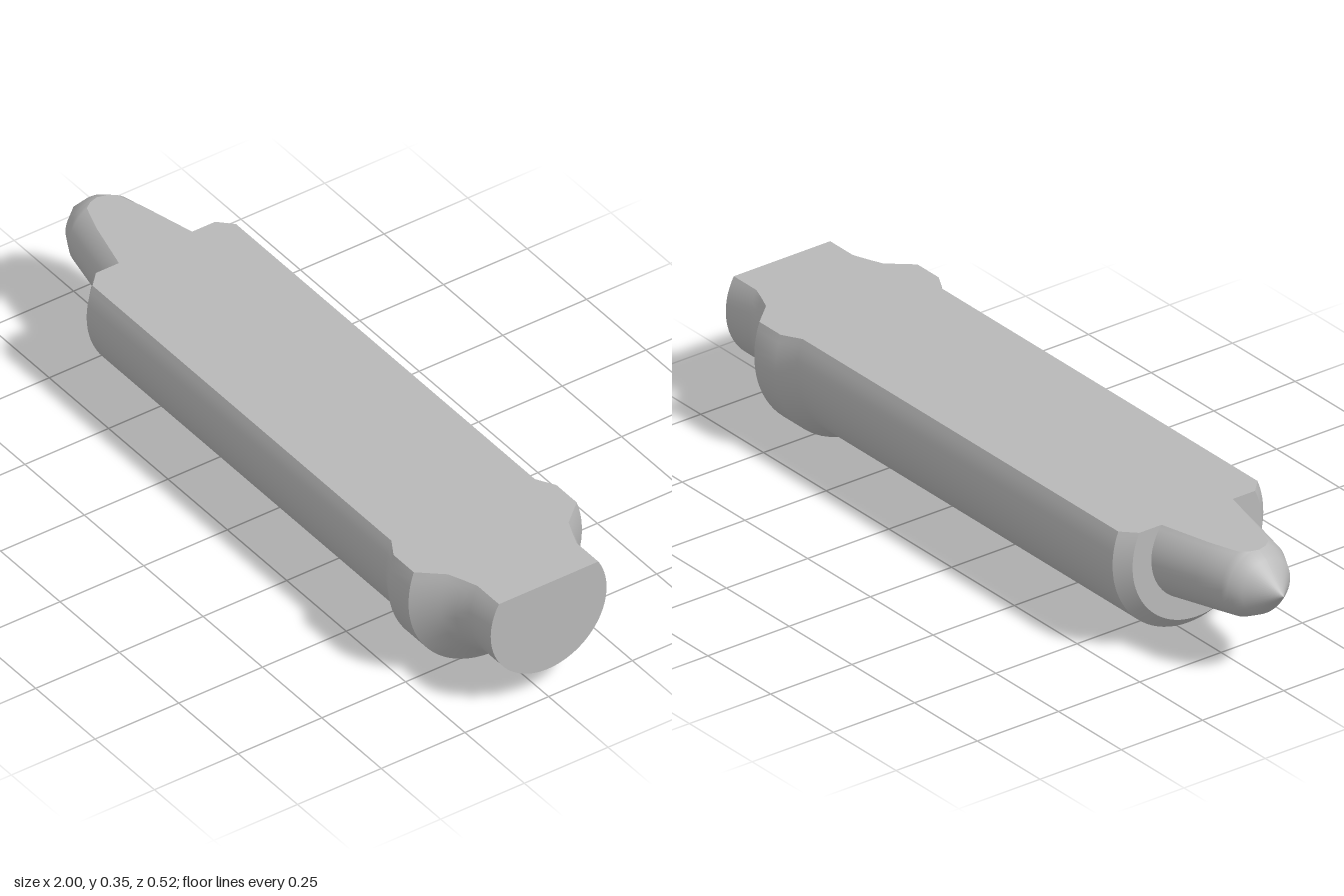
import * as THREE from 'three';

const AXIS = 0.259;  // height of the shaft axis
const CUT = 0.089;   // height of the flat above the axis
const SEGMENTS = 48;

// Profile sections [x, radius]; a crease separates one section from the next.
const sections = {
  tip: [[-1, 0], [-0.93, 0.074], [-0.902, CUT], [-0.895, 0.0925], [-0.88, 0.1], [-0.8, 0.115], [-0.655, 0.141]],
  shoulder: [[-0.655, 0.141], [-0.655, 0.199]],
  chamfer: [[-0.655, 0.199], [-0.618, 0.232]],
  shaftAndCollar: [[-0.618, 0.232], [0.64, 0.232], [0.69, 0.259], [0.775, 0.259]],
  neck: [[0.775, 0.259], [0.83, 0.201], [0.87, 0.186], [0.91, 0.173], [1, 0.173]],
};

// Angle at which a ring of radius r meets the flat (full circle if it stays below)
const cutAngle = (r) => (r <= CUT ? Math.PI / 2 : Math.asin(CUT / r));

// Loft of rings around the x axis, open where the flat cuts them
function loft(profile) {
  const positions = [];
  const index = [];
  const row = SEGMENTS + 1;
  profile.forEach(([x, r], i) => {
    const a = cutAngle(r);
    for (let j = 0; j <= SEGMENTS; j++) {
      const t = a - (j / SEGMENTS) * (Math.PI + 2 * a);
      positions.push(x, AXIS + r * Math.sin(t), r * Math.cos(t));
      if (i < profile.length - 1 && j < SEGMENTS) {
        const p = i * row + j;
        if (r > 0) index.push(p, p + 1, p + row);
        index.push(p + 1, p + row + 1, p + row);
      }
    }
  });
  const geometry = new THREE.BufferGeometry();
  geometry.setAttribute('position', new THREE.Float32BufferAttribute(positions, 3));
  geometry.setIndex(index);
  geometry.computeVertexNormals();
  return geometry;
}

export function createModel() {
  const group = new THREE.Group();
  const metal = new THREE.MeshStandardMaterial({ color: 0xb8b8b8 });
  metal.name = 'grey metal';
  const add = (name, geometry) => {
    const mesh = new THREE.Mesh(geometry, metal);
    mesh.name = name;
    group.add(mesh);
    return mesh;
  };

  // Turned surfaces
  for (const [name, profile] of Object.entries(sections)) add(name, loft(profile));

  // Flat top, outlined by the chords of the rings
  const edge = Object.values(sections).flat()
    .filter(([, r], i, all) => r >= CUT && (i === 0 || all[i - 1][0] !== all[i][0] || all[i - 1][1] !== r))
    .map(([x, r]) => new THREE.Vector2(x, Math.sqrt(r * r - CUT * CUT)));
  const mirrored = edge.slice(1).reverse().map((p) => new THREE.Vector2(p.x, -p.y));
  const flat = add('flatTop', new THREE.ShapeGeometry(new THREE.Shape([...edge, ...mirrored])));
  flat.geometry.rotateX(-Math.PI / 2);
  flat.position.y = AXIS + CUT;

  // Cut disc closing the neck
  const [endX, endR] = sections.neck.at(-1);
  const a = cutAngle(endR);
  const disc = new THREE.Shape().absarc(0, 0, endR, Math.PI - a, 2 * Math.PI + a, false);
  const cap = add('endCap', new THREE.ShapeGeometry(disc, SEGMENTS));
  cap.geometry.rotateY(Math.PI / 2);
  cap.position.set(endX, AXIS, 0);

  return group;
}
